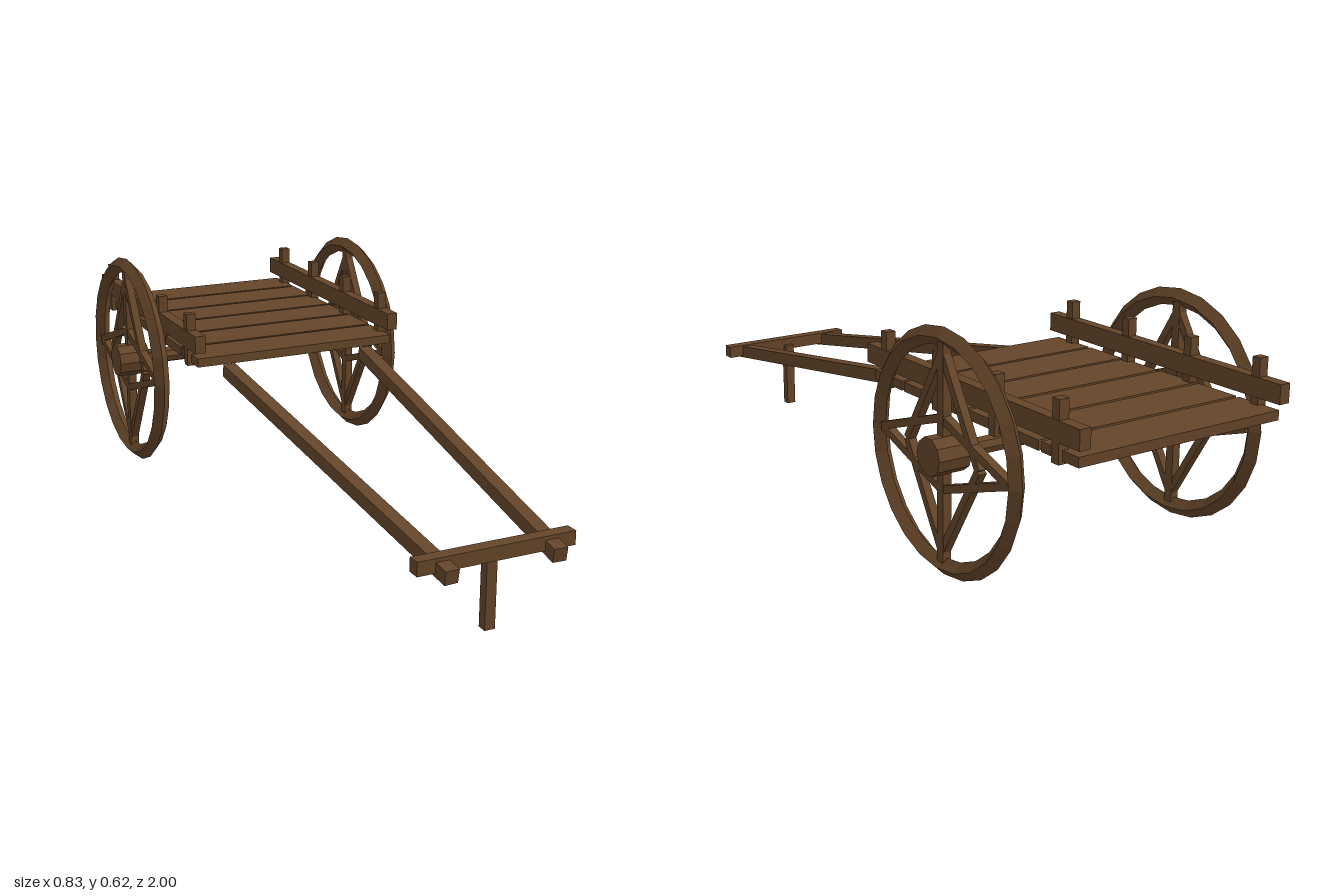
import * as THREE from 'three';

const wood = new THREE.MeshStandardMaterial({ color: 0x644529 });
wood.name = 'brownWood';

// Faceted mesh
function part(name, geometry, parent) {
  const g = geometry.index ? geometry.toNonIndexed() : geometry;
  g.computeVertexNormals();
  const mesh = new THREE.Mesh(g, wood);
  mesh.name = name;
  parent.add(mesh);
  return mesh;
}

function box(name, size, pos, parent) {
  const mesh = part(name, new THREE.BoxGeometry(...size), parent);
  mesh.position.set(...pos);
  return mesh;
}

// Square beam between two points
function beam(name, from, to, w, h, parent) {
  const a = new THREE.Vector3(...from), b = new THREE.Vector3(...to);
  const mesh = part(name, new THREE.BoxGeometry(w, h, a.distanceTo(b)), parent);
  mesh.position.copy(a).add(b).multiplyScalar(0.5);
  mesh.lookAt(b);
  return mesh;
}

// Wheel in the YZ plane, centred on its hub
function makeWheel(name) {
  const wheel = new THREE.Group();
  wheel.name = name;
  part('rim', new THREE.TorusGeometry(0.287, 0.023, 4, 24).rotateY(Math.PI / 2), wheel);
  part('hub', new THREE.CylinderGeometry(0.049, 0.049, 0.092, 10).rotateZ(Math.PI / 2), wheel);
  box('verticalSpoke', [0.024, 0.55, 0.026], [0, 0, 0], wheel);
  // Two crossed diamonds of struts
  for (const sy of [-1, 1]) {
    for (const sz of [-1, 1]) {
      beam('longStrut', [0, 0, sz * 0.265], [0, sy * 0.09, 0], 0.022, 0.02, wheel);
      beam('tallStrut', [0, sy * 0.25, 0], [0, 0, sz * 0.15], 0.022, 0.02, wheel);
    }
  }
  return wheel;
}

export function createModel() {
  const cart = new THREE.Group();
  cart.name = 'handCart';

  // Deck planks
  for (let i = 0; i < 6; i++) {
    box('deckPlank', [0.61, 0.025, 0.131], [0, 0.398, -0.21 - i * 0.1415], cart);
  }

  // Axle
  const axle = part('axle', new THREE.CylinderGeometry(0.023, 0.023, 0.7, 8).rotateZ(Math.PI / 2), cart);
  axle.position.set(0, 0.311, -0.562);

  for (const s of [-1, 1]) {
    const wheel = makeWheel(s > 0 ? 'leftWheel' : 'rightWheel');
    wheel.position.set(s * 0.369, 0.311, -0.562);
    cart.add(wheel);

    // Side rail on posts
    box('sideRail', [0.031, 0.05, 0.872], [s * 0.302, 0.455, -0.564], cart);
    for (let i = 0; i < 4; i++) {
      box('railPost', [0.027, 0.15, 0.025], [s * 0.303, 0.453, -0.209 - i * 0.2355], cart);
    }

    // Pulling shaft
    beam('shaft', [s * 0.215, 0.37, -0.138], [s * 0.143, 0.187, 0.997], 0.036, 0.036, cart);
  }

  // Handle bar and prop leg
  box('handleBar', [0.422, 0.036, 0.034], [0, 0.203, 0.942], cart);
  box('propLeg', [0.028, 0.2, 0.026], [0, 0.1, 0.922], cart);

  return cart;
}
